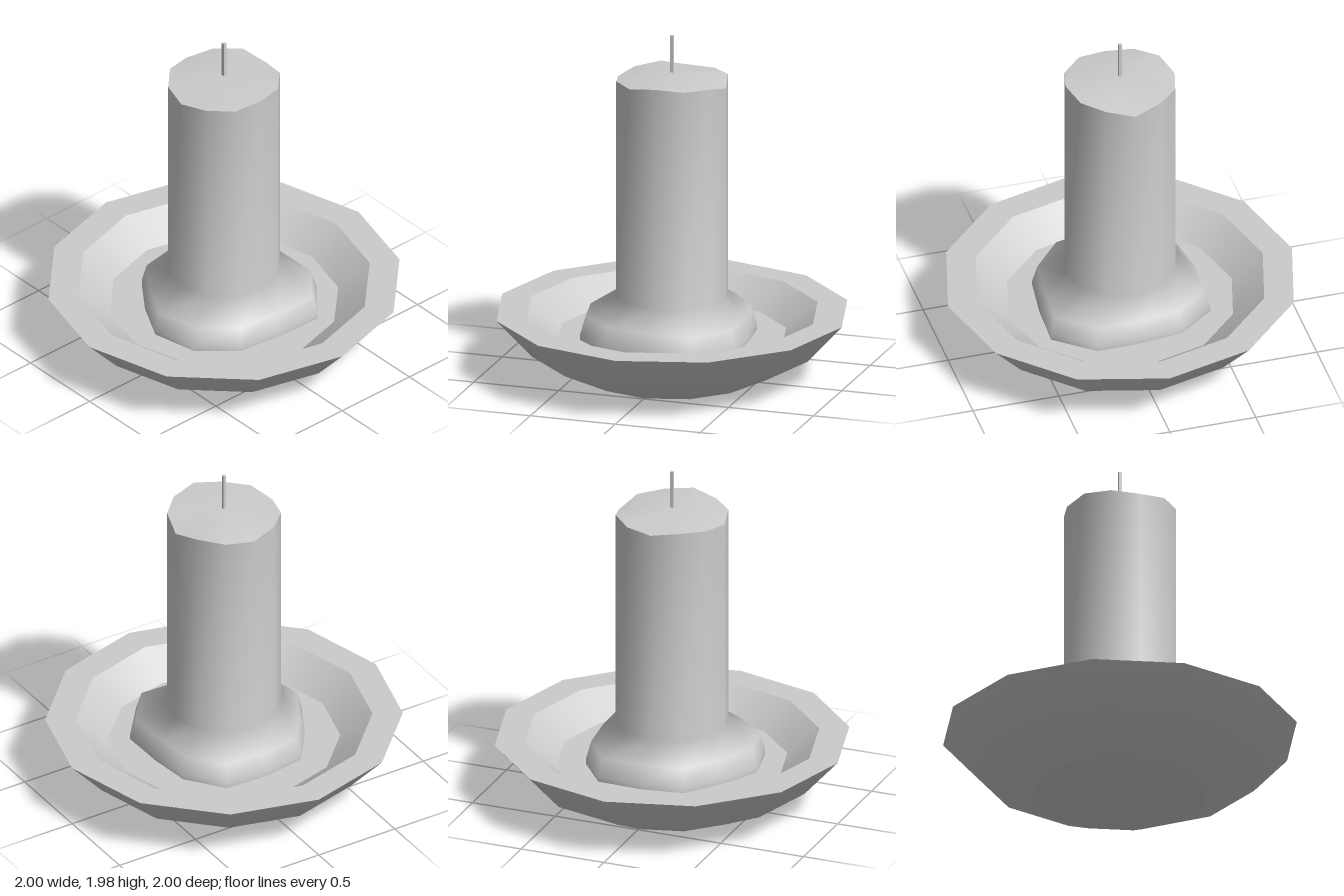
import * as THREE from 'three';

const SIDES = 12;

// Skin a stack of 12-point rings (bottom to top); an optional apex closes the top
function loft(rings, apex) {
  const pos = rings.flat(2), index = [];
  for (let r = 0; r < rings.length - 1; r++) {
    for (let i = 0; i < SIDES; i++) {
      const a = r * SIDES + i, b = r * SIDES + (i + 1) % SIDES;
      index.push(a, b, b + SIDES, a, b + SIDES, a + SIDES);
    }
  }
  if (apex) {
    const top = (rings.length - 1) * SIDES;
    pos.push(...apex);
    for (let i = 0; i < SIDES; i++) index.push(top + i, top + (i + 1) % SIDES, rings.length * SIDES);
  }
  const g = new THREE.BufferGeometry();
  g.setAttribute('position', new THREE.Float32BufferAttribute(pos, 3));
  g.setIndex(index);
  g.computeVertexNormals();
  return g;
}

// Ring with a radius and height per corner, starting at the front (+z) and turning towards +x
function ring(radius, height) {
  return Array.from({ length: SIDES }, (_, i) => {
    const a = (i / SIDES) * Math.PI * 2, r = radius(i);
    return [r * Math.sin(a), height(i), r * Math.cos(a)];
  });
}

export function createModel() {
  const model = new THREE.Group();
  const material = new THREE.MeshStandardMaterial({ color: 0xcccccc });
  const add = (name, geometry, parent = model) => {
    const mesh = new THREE.Mesh(geometry, material);
    mesh.name = name;
    parent.add(mesh);
    return mesh;
  };

  // Dish: separate bands keep the edges between them sharp
  const dish = new THREE.Group();
  dish.name = 'dish';
  model.add(dish);
  const bands = {
    dishBase: [[0, 0], [0.49, 0]],
    dishOuterWall: [[0.49, 0], [0.8, 0.15], [1, 0.37]],
    dishRim: [[1, 0.37], [0.83, 0.37]],
    dishInnerWall: [[0.83, 0.37], [0.65, 0.23]],
    dishFloor: [[0.65, 0.23], [0, 0.23]],
  };
  for (const [name, profile] of Object.entries(bands)) {
    add(name, new THREE.LatheGeometry(profile.map(p => new THREE.Vector2(...p)), SIDES), dish);
  }

  // Candle: uneven pool of melted wax flowing up into the straight column
  const pool = [0.51, 0.525, 0.505, 0.47, 0.555, 0.525, 0.45, 0.485, 0.52, 0.46, 0.485, 0.45];
  const topY = [1.71, 1.73, 1.73, 1.755, 1.74, 1.735, 1.7, 1.735, 1.725, 1.715, 1.735, 1.725];
  const topRing = ring(() => 0.318, i => topY[i]);
  add('candleBody', loft([
    ring(i => pool[i], () => 0.23),
    ring(i => pool[i], () => 0.26),
    ring(i => pool[i] * 0.94, () => 0.365),
    ring(() => 0.318, () => 0.47),
    topRing,
  ]));
  add('candleTop', loft([topRing], [0, 1.765, 0]));

  // Wick: thin square post
  add('wick', new THREE.BoxGeometry(0.018, 0.24, 0.018)).position.y = 1.86;

  return model;
}
